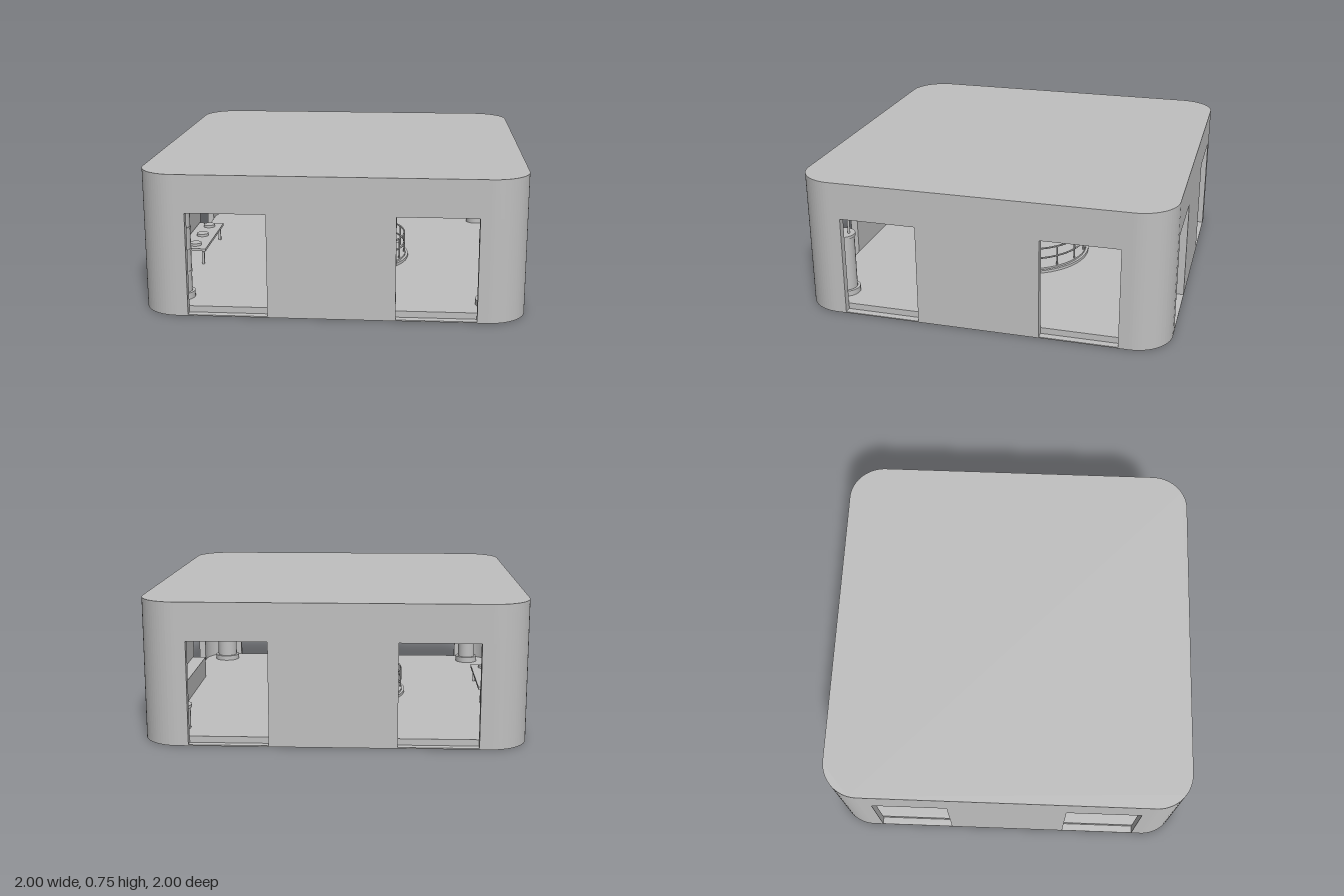
import * as THREE from 'three';

const grey = new THREE.MeshStandardMaterial({ color: 0xc0c0c0 });
grey.name = 'pale grey';

export function createModel() {
  const model = new THREE.Group();
  model.name = 'pavilion';

  const add = (name, geo, x = 0, y = 0, z = 0, parent = model) => {
    const m = new THREE.Mesh(geo, grey);
    m.name = name;
    m.position.set(x, y, z);
    parent.add(m);
    return m;
  };
  // box given by its lower and upper limits
  const block = (name, x0, x1, y0, y1, z0, z1, parent) =>
    add(name, new THREE.BoxGeometry(x1 - x0, y1 - y0, z1 - z0),
      (x0 + x1) / 2, (y0 + y1) / 2, (z0 + z1) / 2, parent);
  // upright cylinder standing at y0
  const drum = (name, r, y0, y1, x, z, parent, seg = 32) =>
    add(name, new THREE.CylinderGeometry(r, r, y1 - y0, seg), x, (y0 + y1) / 2, z, parent);
  // extrude a plan outline upward from y0 to y1
  const rise = (shape, y0, y1) =>
    new THREE.ExtrudeGeometry(shape, { depth: y1 - y0, bevelEnabled: false, curveSegments: 10 })
      .rotateX(-Math.PI / 2).translate(0, y0, 0);
  const roundedSquare = (h, r) => {
    const s = new THREE.Shape();
    const c = h - r;
    s.absarc(c, c, r, 0, Math.PI / 2);
    s.absarc(-c, c, r, Math.PI / 2, Math.PI);
    s.absarc(-c, -c, r, Math.PI, Math.PI * 1.5);
    s.absarc(c, -c, r, Math.PI * 1.5, Math.PI * 2);
    s.closePath();
    return s;
  };
  const flatRing = (outer, inner) => {
    const s = new THREE.Shape().absarc(0, 0, outer, 0, Math.PI * 2);
    s.holes.push(new THREE.Path().absarc(0, 0, inner, 0, Math.PI * 2, true));
    return new THREE.ExtrudeGeometry(s, { depth: 0.01, bevelEnabled: false, curveSegments: 32 })
      .rotateX(-Math.PI / 2);
  };

  // shell: base plate, inset floor and deep roof
  const top = 0.55, floorY = 0.04, wall = 0.04;
  add('basePlate', rise(roundedSquare(1, 0.2), 0, 0.006));
  add('floor', rise(roundedSquare(1 - wall, 0.2 - wall), 0.006, floorY));
  add('roof', rise(roundedSquare(1, 0.2), top, 0.75));

  // four curved corner walls and four middle piers, with openings between
  const corner = new THREE.Shape();
  corner.moveTo(1, 0.745);
  corner.lineTo(1, 0.8);
  corner.absarc(0.8, 0.8, 0.2, 0, Math.PI / 2);
  corner.lineTo(0.745, 1);
  corner.lineTo(0.745, 1 - wall);
  corner.lineTo(0.8, 1 - wall);
  corner.absarc(0.8, 0.8, 0.2 - wall, Math.PI / 2, 0, true);
  corner.lineTo(1 - wall, 0.745);
  corner.closePath();
  const cornerGeo = rise(corner, 0.006, top);
  for (let i = 0; i < 4; i++) {
    const side = new THREE.Group();
    side.name = 'wallSide' + (i + 1);
    side.rotation.y = i * Math.PI / 2;
    add('cornerWall', cornerGeo, 0, 0, 0, side);
    block('pier', -0.33, 0.33, 0.006, top, 1 - wall, 1, side);
    model.add(side);
  }

  // central round platform with railing
  const platform = new THREE.Group();
  platform.name = 'centralPlatform';
  model.add(platform);
  drum('platformStep', 0.38, floorY, 0.055, 0, 0, platform, 48);
  drum('platformTop', 0.365, 0.055, 0.065, 0, 0, platform, 48);
  for (const y of [0.125, 0.185])
    add('rail', new THREE.TorusGeometry(0.357, 0.005, 6, 64).rotateX(Math.PI / 2), 0, y, 0, platform);
  for (let i = 0; i < 16; i++) {
    const a = i * Math.PI / 8;
    drum('railPost', 0.005, 0.065, 0.185, 0.357 * Math.cos(a), 0.357 * Math.sin(a), platform, 8);
  }

  // ceiling rings and light strips
  for (const r of [0.55, 0.44, 0.33])
    add('ceilingRing', flatRing(r, r - 0.03), 0, top - 0.01, 0);
  for (const sx of [-1, 1])
    for (const z of [-0.79, 0.79])
      block('lightStrip', sx * 0.48 - 0.175, sx * 0.48 + 0.175, top - 0.007, top, z - 0.012, z + 0.012);

  // banded column in the front right corner
  drum('columnBase', 0.07, floorY, 0.075, -0.815, 0.815);
  drum('column', 0.055, 0.075, top, -0.815, 0.815);
  for (const y of [0.18, 0.3, 0.42]) drum('columnBand', 0.058, y, y + 0.01, -0.815, 0.815);

  // tank with ceiling pipes in the front left corner
  drum('tankBase', 0.078, floorY, 0.07, 0.82, 0.82);
  drum('tank', 0.062, 0.07, 0.375, 0.82, 0.82);
  drum('tankLid', 0.068, 0.375, 0.39, 0.82, 0.82);
  for (let i = 0; i < 3; i++) {
    const a = i * Math.PI * 2 / 3 + 0.4;
    drum('tankPipe', 0.007, 0.39, top, 0.82 + 0.035 * Math.cos(a), 0.82 + 0.035 * Math.sin(a), model, 8);
  }

  // bin in the back left corner
  drum('binBody', 0.06, floorY, 0.155, 0.825, -0.815);
  drum('binRim', 0.068, 0.155, 0.17, 0.825, -0.815);
  drum('binKnob', 0.025, 0.17, 0.176, 0.825, -0.815);

  // low cabinet on the left wall
  block('cabinet', 0.88, 1 - wall, floorY, 0.165, -0.3, 0.3);

  // table with dishes on the right wall
  block('tableTop', -0.955, -0.8, 0.125, 0.14, -0.28, 0.28);
  for (const x of [-0.93, -0.82])
    for (const z of [-0.25, 0.25]) block('tableLeg', x - 0.007, x + 0.007, floorY, 0.125, z - 0.007, z + 0.007);
  for (const z of [-0.2, 0, 0.2]) drum('dish', 0.035, 0.14, 0.155, -0.875, z, model, 24);

  // shelves hung from the ceiling
  block('hangingShelf', -0.93, -0.505, 0.397, 0.41, -0.2, 0.2);
  for (const z of [-0.15, 0.15]) drum('shelfRod', 0.004, 0.41, top, -0.585, z, model, 8);
  for (const x of [-0.69, -0.595]) drum('shelfDish', 0.022, 0.41, 0.422, x, 0, model, 20);
  block('hangingCanopy', -0.555, -0.2, 0.5, 0.52, -0.15, 0.15);
  block('backShelf', -0.2, 0.2, 0.327, 0.341, -0.93, -0.505);
  for (const x of [-0.15, 0.15]) drum('backShelfRod', 0.004, 0.341, top, x, -0.615, model, 8);

  return model;
}
